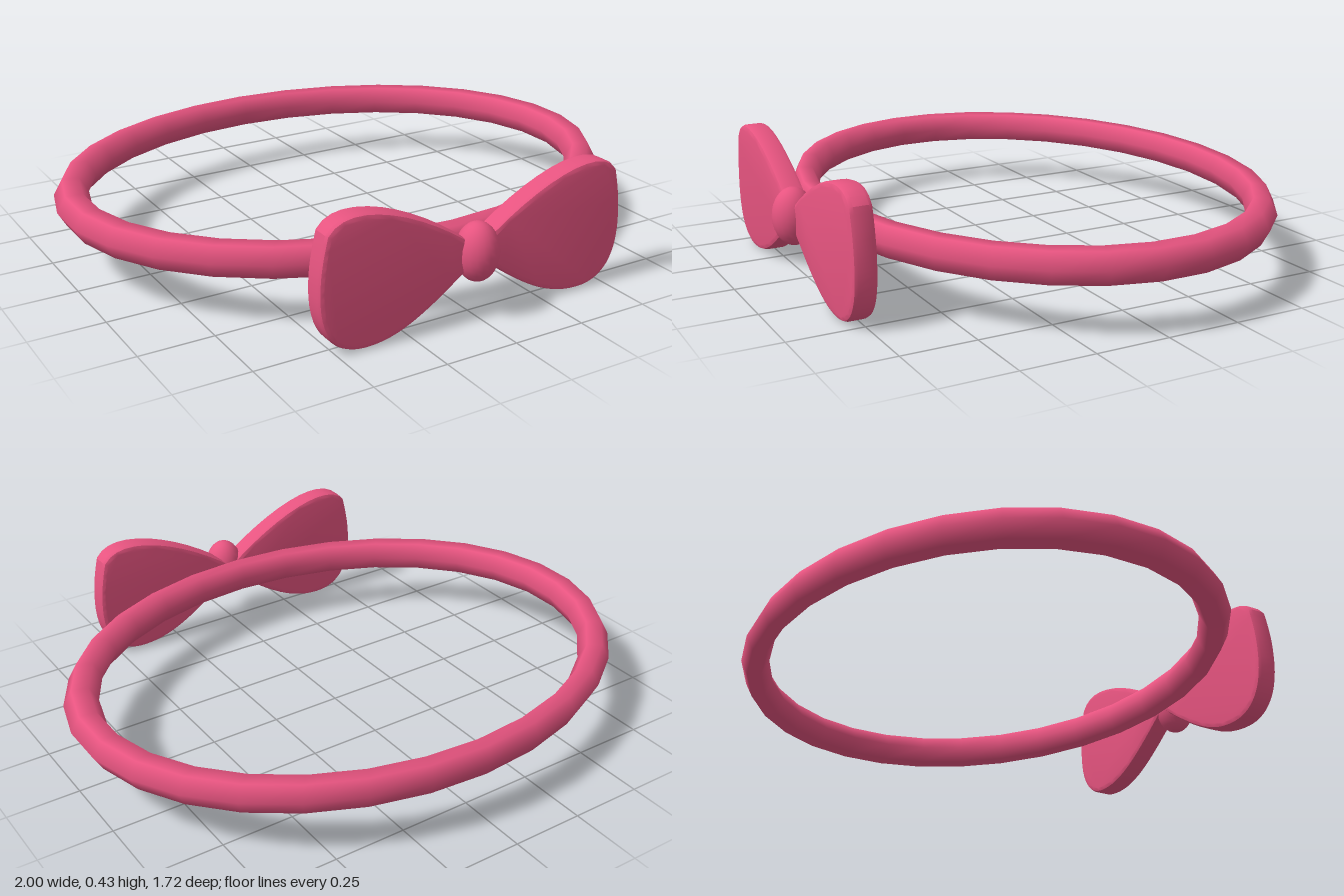
import * as THREE from 'three';
import { toCreasedNormals } from 'three/addons/utils/BufferGeometryUtils.js';

const MID = 0.228; // height of the band and knot

// One rounded bow wing; side is +1 or -1
function wingShape(side) {
  const s = new THREE.Shape();
  const curve = (a, b, c, d, e, f) => s.bezierCurveTo(side * a, b, side * c, d, side * e, f);
  s.moveTo(0, MID);
  curve(0.22, 0.40, 0.46, 0.48, 0.52, 0.39);    // top edge to the outer corner
  curve(0.54, 0.31, 0.547, 0.26, 0.545, 0.19);  // outer edge
  curve(0.54, 0.07, 0.48, 0.025, 0.40, 0.025);  // rounded lower corner
  curve(0.29, 0.025, 0.20, 0.075, 0, MID);      // bottom edge back to the knot
  return s;
}

export function createModel() {
  const group = new THREE.Group();
  const material = new THREE.MeshStandardMaterial({ color: 0xe75480 });
  const add = (name, geometry) => {
    const mesh = new THREE.Mesh(geometry, material);
    mesh.name = name;
    group.add(mesh);
    return mesh;
  };

  // Oval band: six-sided tube in thirty segments
  const ring = new THREE.TorusGeometry(0.9455, 0.06, 6, 30);
  ring.rotateZ(Math.PI / 2);
  ring.rotateX(Math.PI / 2);
  ring.scale(1, 1, 0.786);
  add('band', ring).position.set(0, MID, -0.07);

  // Bow wings with a soft bevelled rim
  for (const [name, side] of [['leftBowWing', 1], ['rightBowWing', -1]]) {
    const wing = new THREE.ExtrudeGeometry(wingShape(side), {
      depth: 0.05, bevelEnabled: true, bevelThickness: 0.015,
      bevelSize: 0.015, bevelSegments: 2, curveSegments: 12,
    });
    add(name, toCreasedNormals(wing, 0.5)).position.z = 0.74;
  }

  // Knot in the middle of the bow
  const knot = new THREE.SphereGeometry(0.07, 20, 14);
  knot.scale(1, 1.4, 1);
  add('knot', knot).position.set(0, MID, 0.79);

  return group;
}
